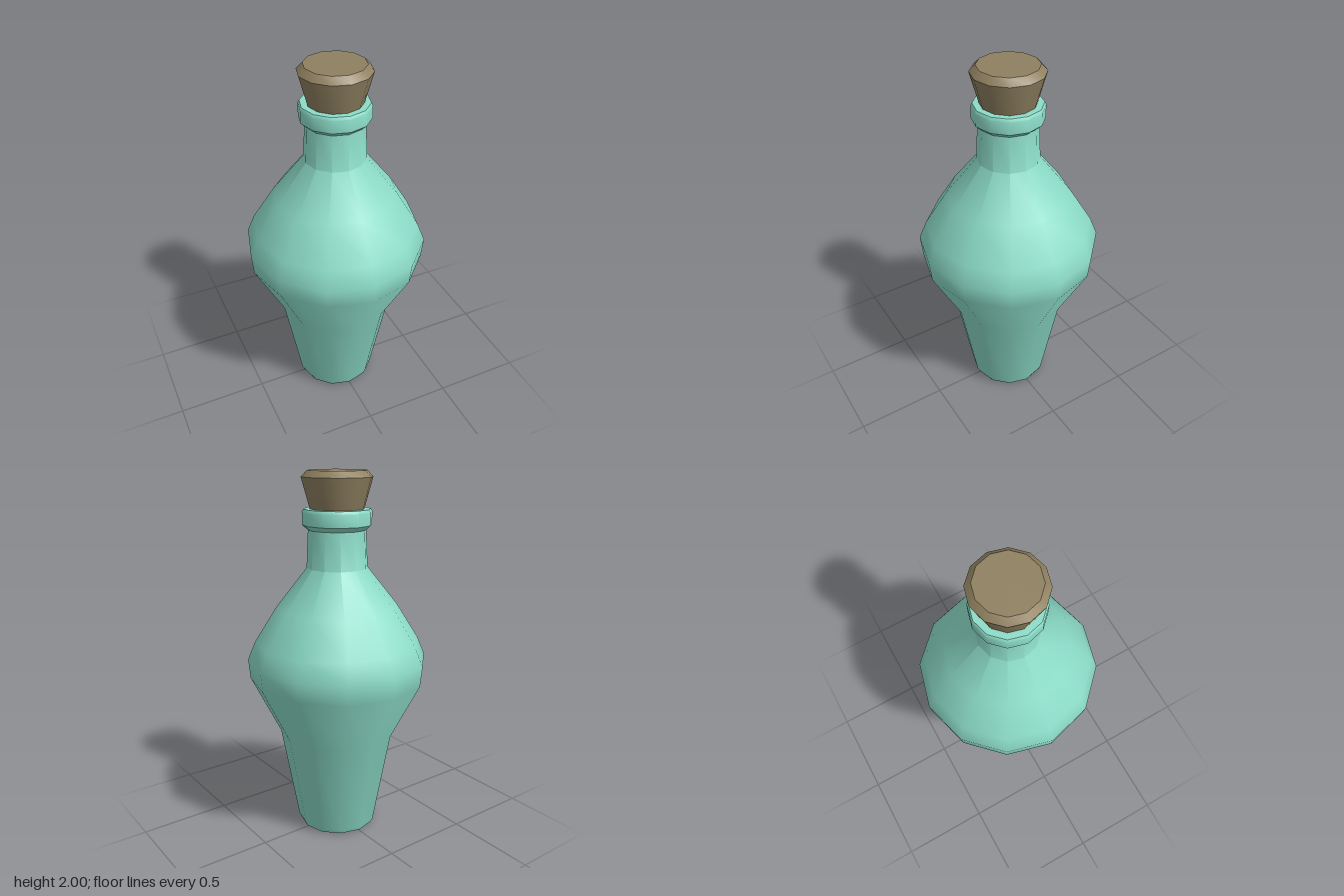
import * as THREE from 'three';
import { toCreasedNormals } from 'three/addons/utils/BufferGeometryUtils.js';

const SIDES = 12;

// Twelve-sided turned part from [radius, height] pairs, running bottom to top
function turned(name, color, profile) {
  const points = profile.map(([r, y]) => new THREE.Vector2(r, y));
  const geometry = toCreasedNormals(new THREE.LatheGeometry(points, SIDES), 0.7);
  const material = new THREE.MeshStandardMaterial({ color });
  const mesh = new THREE.Mesh(geometry, material);
  mesh.name = name;
  return mesh;
}

export function createModel() {
  const group = new THREE.Group();
  group.name = 'corkedBottle';
  const glass = 0x8cdcc8;
  const corkColor = 0x8f8060;

  // Body with recessed base, wide shoulder and narrow neck
  group.add(turned('bottleBody', glass, [
    [0, 0.05], [0.16, 0.045], [0.185, 0.005], [0.2, 0],
    [0.215, 0.006], [0.226, 0.03], [0.322, 0.57],
    [0.482, 0.89], [0.492, 1.0], [0.45, 1.1], [0.33, 1.29],
    [0.164, 1.5], [0.154, 1.71],
  ]));

  // Lip ring around the mouth, with a bevelled underside
  group.add(turned('lipRing', glass, [
    [0.13, 1.7], [0.158, 1.7], [0.185, 1.725], [0.185, 1.792],
    [0.177, 1.806], [0.13, 1.806], [0.13, 1.7],
  ]));

  // Tapered stopper with a chamfered top
  group.add(turned('cork', corkColor, [
    [0, 1.72], [0.118, 1.72], [0.142, 1.8], [0.188, 1.967],
    [0.156, 2], [0, 2],
  ]));

  return group;
}
